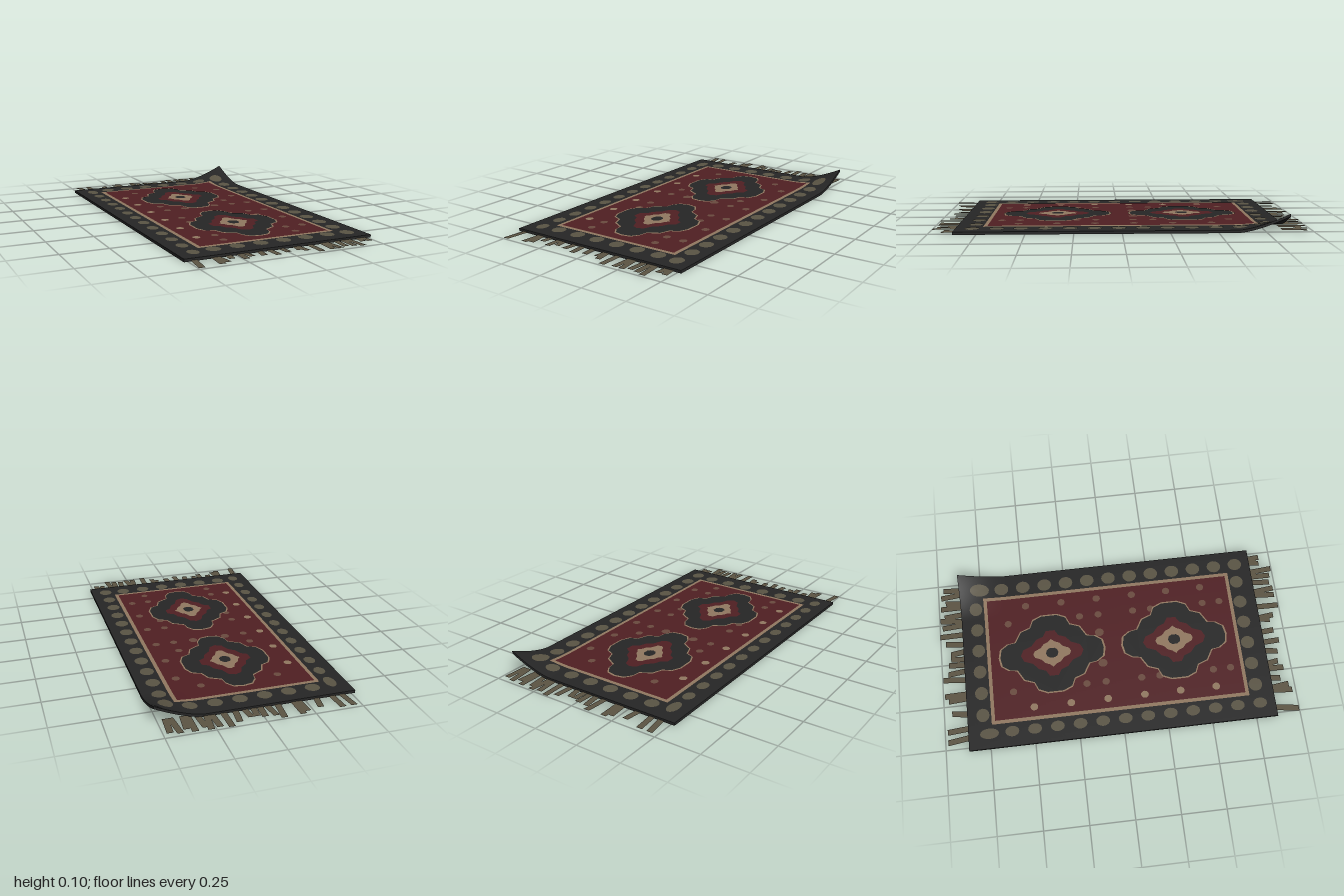
import * as THREE from 'three';

const W = 1.04, L = 1.74, TOP = 0.015;

const mat = (name, color, side = THREE.FrontSide) => {
  const m = new THREE.MeshStandardMaterial({ color, side });
  m.name = name;
  return m;
};

// Height of the curled corner at the back of the +x side
function lift(x, z) {
  const u = Math.max(0, (x - 0.265) / 0.255);
  const v = Math.max(0, (-z - 0.6) / 0.27);
  return 0.085 * Math.pow(u * v, 1.5);
}

// Bend a geometry so it follows the rug surface
function drape(geo) {
  const p = geo.attributes.position;
  for (let i = 0; i < p.count; i++) p.setY(i, p.getY(i) + lift(p.getX(i), p.getZ(i)));
  geo.computeVertexNormals();
  return geo;
}

// Mirror a quarter outline (from the z tip to the x tip) into a closed shape
function quarterShape(q, s = 1) {
  const pts = [
    ...q,
    ...q.slice(0, -1).reverse().map(([x, z]) => [x, -z]),
    ...q.slice(1).map(([x, z]) => [-x, -z]),
    ...q.slice(1, -1).reverse().map(([x, z]) => [-x, z]),
  ];
  return new THREE.Shape(pts.map(([x, z]) => new THREE.Vector2(x * s, z * s)));
}

export function createModel() {
  const rug = new THREE.Group();
  rug.name = 'rug';
  const dark = mat('charcoal wool', 0x262626);
  const red = mat('deep red wool', 0x501f23);
  const olive = mat('olive wool', 0x5a5444);
  const tan = mat('tan wool', 0x917860);
  const brown = mat('brown wool', 0x6a4b3f);
  const thread = mat('fringe thread', 0x5c5443, THREE.DoubleSide);

  const add = (parent, name, geo, material) => {
    const m = new THREE.Mesh(geo, material);
    m.name = name;
    parent.add(m);
    return m;
  };
  const group = (name) => {
    const g = new THREE.Group();
    g.name = name;
    rug.add(g);
    return g;
  };

  // Woven slab with the curled corner
  add(rug, 'rugBody', drape(new THREE.BoxGeometry(W, TOP, L, 52, 1, 87).translate(0, TOP / 2, 0)), dark);

  // Tan frame line with the red field on top of it
  const panel = (name, w, l, layer, m) =>
    add(rug, name, drape(new THREE.PlaneGeometry(w, l, 38, 73).rotateX(-Math.PI / 2)
      .translate(0, TOP + layer * 0.001, -0.003)), m);
  panel('frameLine', 0.77, 1.465, 1, tan);
  panel('field', 0.73, 1.425, 2, red);

  // Oval spots
  const spot = (parent, name, x, z, rx, rz, layer, m) =>
    add(parent, name, drape(new THREE.CircleGeometry(1, 16).scale(rx, rz, 1).rotateX(-Math.PI / 2)
      .translate(x, TOP + layer * 0.001, z)), m);

  // Border spots along the four sides
  const border = group('borderSpots');
  for (let i = 0; i < 13; i++) {
    const z = -0.752 + i * 0.1278, corner = i === 0 ? 0.014 : 0;
    spot(border, 'sideSpot', -0.435, z, 0.03, 0.039 + corner, 1.5, olive);
    spot(border, 'sideSpot', 0.434, z, 0.037, 0.041 + corner, 1.5, olive);
  }
  for (let i = 0; i < 6; i++) {
    const x = -0.325 + i * 0.129;
    spot(border, 'endSpot', x, -0.782, 0.039, 0.037, 1.5, olive);
    spot(border, 'endSpot', x, 0.774, 0.038, 0.039, 1.5, olive);
  }

  // Small spots scattered over the field, mirrored left and right
  const fieldSpots = group('fieldSpots');
  for (const s of [-1, 1]) {
    for (const z of [-0.49, -0.28, -0.07, 0.14, 0.345, 0.55])
      spot(fieldSpots, 'outerSpot', s * 0.31, z, 0.021, 0.022, 3, s < 0 ? tan : brown);
    for (const z of [-0.6, -0.18, -0.07, 0.135, 0.24, 0.55, 0.65])
      spot(fieldSpots, 'innerSpot', s * 0.208, z, 0.02, 0.021, 3, brown);
    spot(fieldSpots, 'middleSpot', s * 0.095, -0.075, 0.024, 0.026, 3, brown);
  }

  // Two stepped medallions made of stacked thin layers
  const lobes = [[0, 0.3], [0.05, 0.29], [0.078, 0.25], [0.085, 0.205], [0.145, 0.17], [0.165, 0.115],
    [0.21, 0.095], [0.232, 0.045], [0.232, 0]];
  const diamond = [[0, 0.182], [0.035, 0.165], [0.055, 0.115], [0.09, 0.085], [0.105, 0.045], [0.138, 0.025], [0.138, 0]];
  const heart = [[0, 0.11], [0.02, 0.1], [0.035, 0.065], [0.058, 0.045], [0.068, 0.02], [0.085, 0]];
  const core = [[0, 0.036], [0.018, 0.03], [0.029, 0.015], [0.029, 0]];
  const layers = [
    ['medallionEdge', lobes, 1.035, tan], ['medallion', lobes, 1, dark],
    ['redDiamond', diamond, 1, red], ['tanDiamond', heart, 1, tan], ['medallionCore', core, 1, dark],
  ];
  for (const z of [-0.36, 0.352]) {
    const g = group('medallionGroup');
    g.position.set(0, TOP, z);
    layers.forEach(([name, q, s, m], i) => {
      const geo = new THREE.ShapeGeometry(quarterShape(q, s)).rotateX(-Math.PI / 2);
      // keep the faces pointing up whichever way the outline runs
      add(g, name, geo, m).position.y = 0.0035 + i * 0.0008;
    });
  }

  // Fringe: flat strands lying on the floor, given by tip x and tip distance
  const backTips = [[-0.46, 0.985], [-0.4, 0.985], [-0.295, 0.955], [-0.22, 0.97], [-0.19, 0.99], [-0.09, 0.995],
    [-0.06, 0.965], [-0.005, 0.96], [0.03, 0.945], [0.06, 0.945], [0.127, 0.97], [0.175, 1.0], [0.228, 0.985],
    [0.275, 0.995], [0.295, 0.97], [0.35, 0.99], [0.385, 0.96], [0.42, 0.985], [0.467, 0.97]];
  const frontTips = [[-0.487, 0.997], [-0.376, 0.98], [-0.34, 0.965], [-0.3, 0.925], [-0.238, 0.955], [-0.196, 0.93],
    [-0.138, 0.94], [-0.07, 0.96], [-0.005, 0.94], [0.062, 0.93], [0.09, 0.955], [0.148, 0.995], [0.217, 0.985],
    [0.26, 0.985], [0.3, 0.97], [0.345, 0.98], [0.387, 0.995], [0.43, 0.93], [0.47, 0.935]];
  const fringe = (name, tips, dir) => {
    const g = group(name);
    tips.forEach(([x, d], i) => {
      const lean = i === 0 ? 0.02 : 0.016 * Math.sin(i * 2.3);
      const len = d - 0.84, geo = new THREE.PlaneGeometry(0.033, len).rotateX(-Math.PI / 2);
      const p = geo.attributes.position;
      for (let k = 0; k < p.count; k++) {
        const atTip = p.getZ(k) * dir > 0;
        p.setX(k, p.getX(k) + x + (atTip ? 0 : lean));
        p.setZ(k, dir * (atTip ? d : 0.84));
      }
      add(g, 'strand', geo, thread).position.y = 0.005;
    });
  };
  fringe('backFringe', backTips, -1);
  fringe('frontFringe', frontTips, 1);

  return rug;
}
